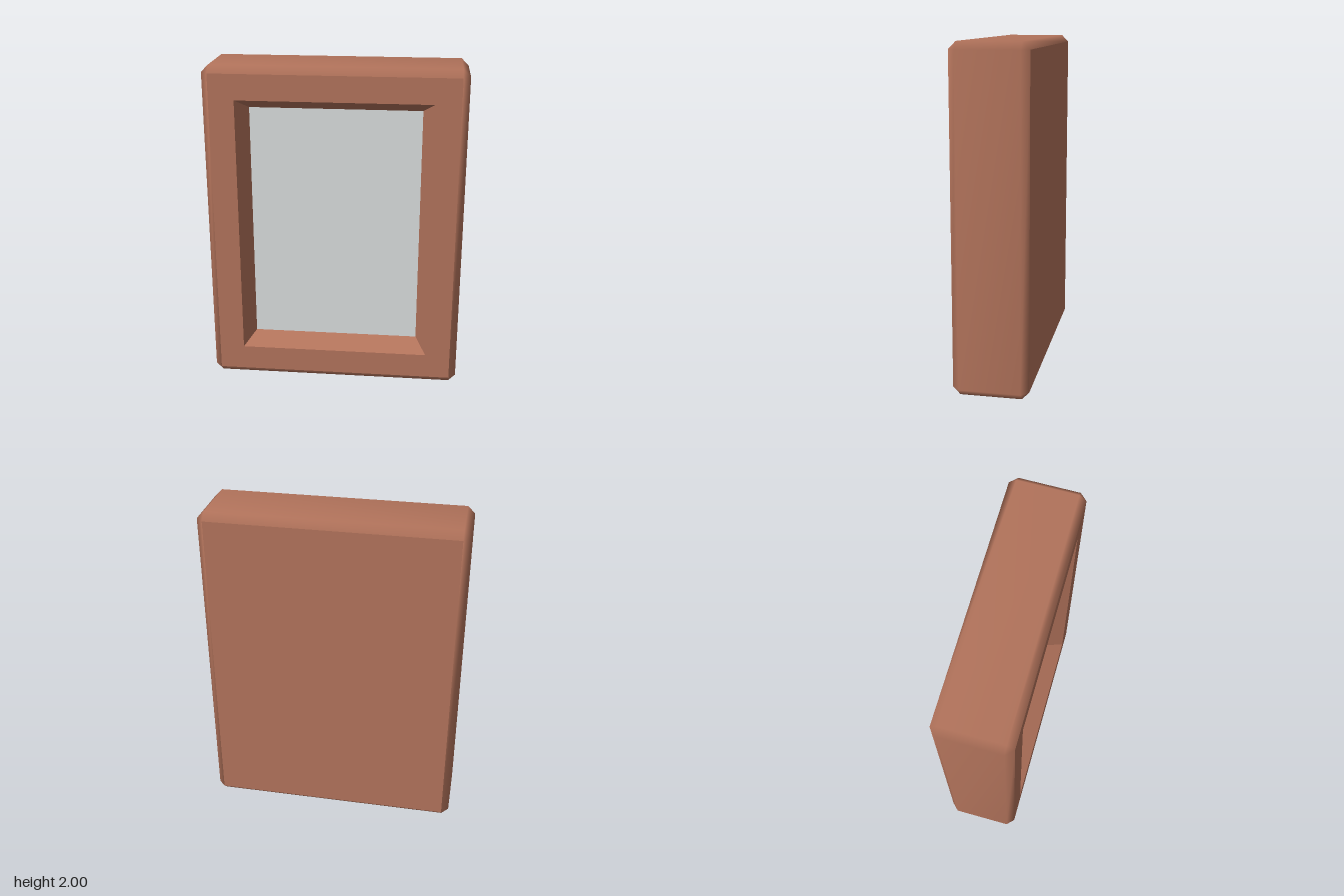
import * as THREE from 'three';
import { mergeVertices } from 'three/addons/utils/BufferGeometryUtils.js';

const HALF_W = 0.775, HALF_H = 1, HALF_D = 0.222, BEVEL = 0.043;
const CORNERS = [[1, -1], [1, 1], [-1, 1], [-1, -1]];

// Rectangular loop, counter-clockwise from the front
const rectLoop = (w, h, z) => CORNERS.map(([sx, sy]) => [sx * w, sy * h, z]);

// Rectangular loop with two points per corner, cut back by c
const cutLoop = (w, h, z, c) => CORNERS.flatMap(([sx, sy], i) => {
  const pair = [[sx * (w - c), sy * h, z], [sx * w, sy * (h - c), z]];
  return i % 2 ? pair.reverse() : pair;
});

// Bands between successive loops; outward when the loops run front to back
function loft(loops, smooth) {
  const pos = [];
  for (let k = 0; k + 1 < loops.length; k++) {
    const A = loops[k], B = loops[k + 1], n = A.length;
    const same = (p, q) => p.every((v, m) => v === q[m]);
    for (let i = 0; i < n; i++) {
      const j = (i + 1) % n;
      if (!same(B[i], B[j])) pos.push(...A[i], ...B[i], ...B[j]);
      if (!same(A[i], A[j])) pos.push(...A[i], ...B[j], ...A[j]);
    }
  }
  let geo = new THREE.BufferGeometry();
  geo.setAttribute('position', new THREE.Float32BufferAttribute(pos, 3));
  if (smooth) geo = mergeVertices(geo);
  geo.computeVertexNormals();
  return geo;
}

const rectPoints = (w, h) => rectLoop(w, h, 0).map(([x, y]) => new THREE.Vector2(x, y));

export function createModel() {
  const clay = new THREE.MeshStandardMaterial({ color: 0xb2735b });
  clay.name = 'terracotta frame';
  const pale = new THREE.MeshStandardMaterial({ color: 0xd9dddd });
  pale.name = 'pale grey panel';

  const group = new THREE.Group();
  group.name = 'framedPanel';
  const add = (name, geo, mat, z = 0) => {
    const mesh = new THREE.Mesh(geo, mat);
    mesh.name = name;
    mesh.position.set(0, 1, z);
    group.add(mesh);
    return mesh;
  };

  const faceW = HALF_W - BEVEL, faceH = HALF_H - BEVEL, sideZ = HALF_D - BEVEL;
  const openW = 0.58, openH = 0.803, panelW = 0.515, panelH = 0.738, panelZ = HALF_D - 0.12;

  // Softly shaded bevelled sides
  add('frameSides', loft([
    cutLoop(faceW, faceH, HALF_D, 0),
    cutLoop(HALF_W, HALF_H, sideZ, BEVEL),
    cutLoop(HALF_W, HALF_H, -sideZ, BEVEL),
    cutLoop(faceW, faceH, -HALF_D, 0),
  ], true), clay);

  // Flat front border around the opening
  const border = new THREE.Shape(rectPoints(faceW, faceH));
  border.holes.push(new THREE.Path(rectPoints(openW, openH)));
  add('frontBorder', new THREE.ShapeGeometry(border), clay, HALF_D);

  // Flat back
  add('backFace', new THREE.PlaneGeometry(faceW * 2, faceH * 2), clay, -HALF_D).rotation.y = Math.PI;

  // Sloping walls of the recess, facing inward
  add('recessWalls', loft([
    rectLoop(panelW, panelH, panelZ),
    rectLoop(openW, openH, HALF_D),
  ], false), clay);

  // Panel at the bottom of the recess
  add('panel', new THREE.PlaneGeometry(panelW * 2, panelH * 2), pale, panelZ);

  return group;
}
